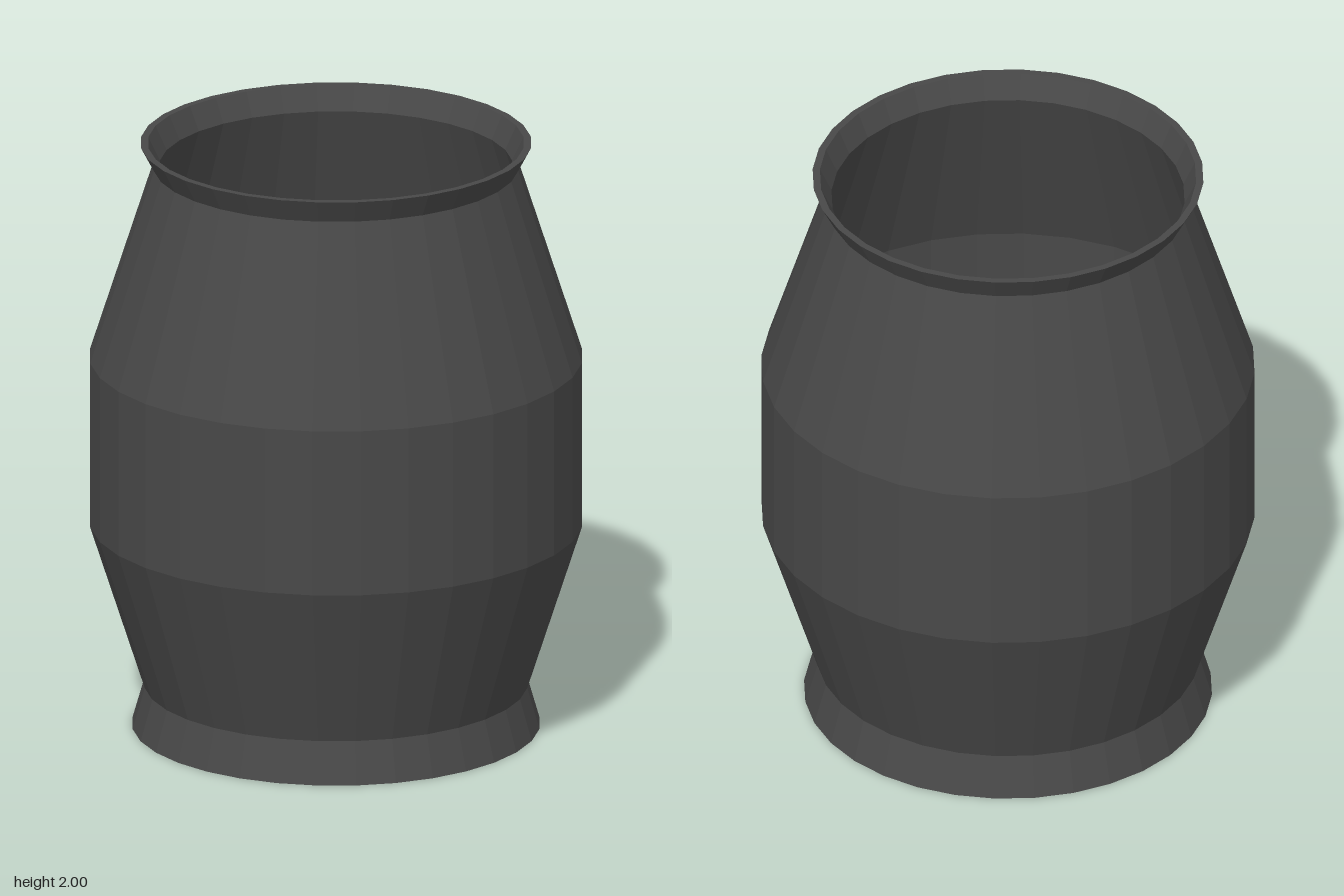
import * as THREE from 'three';

const SIDES = 32;

export function createModel() {
  const group = new THREE.Group();
  const material = new THREE.MeshStandardMaterial({ color: 0x484848, flatShading: true });

  // Lathed part: profile of [radius, height] pairs, outside going up, inside going down
  const turn = (name, profile) => {
    const points = profile.map(([r, y]) => new THREE.Vector2(r, y));
    const mesh = new THREE.Mesh(new THREE.LatheGeometry(points, SIDES), material);
    mesh.name = name;
    group.add(mesh);
  };

  // Flared foot with a closed underside
  turn('foot', [[0, 0], [0.67, 0], [0.63, 0.14]]);

  // Barrel-shaped outer wall
  turn('body', [[0.63, 0.14], [0.81, 0.7], [0.81, 1.265], [0.6, 1.92]]);

  // Flared lip: outside, flat rim, sloping inside
  turn('lip', [[0.6, 1.92], [0.642, 2], [0.618, 2], [0.58, 1.92]]);

  // Hollow inside and floor
  turn('interior', [[0.58, 1.92], [0.785, 1.265], [0.785, 0.7], [0.61, 0.14], [0, 0.14]]);

  return group;
}
